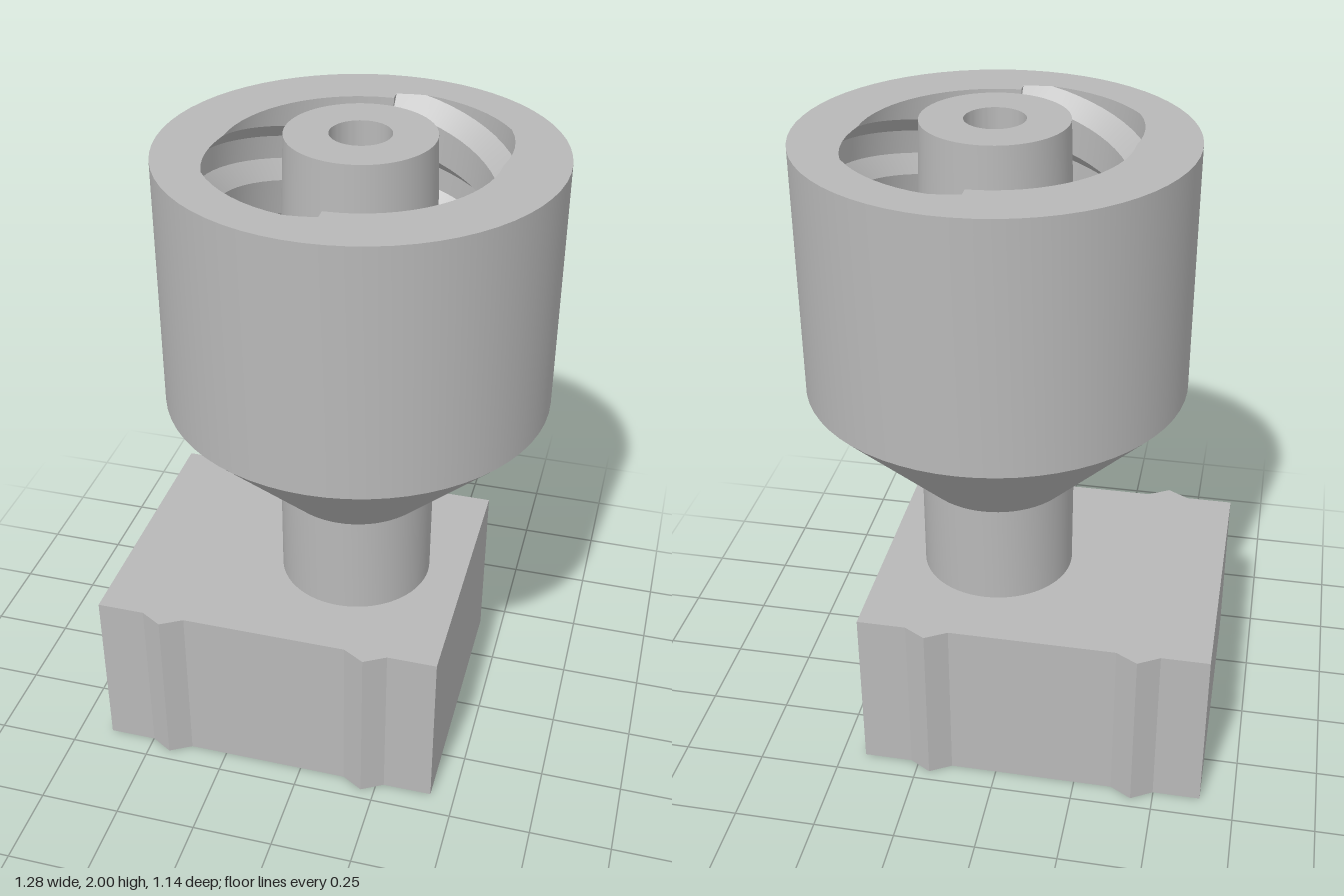
import * as THREE from 'three';
import { toCreasedNormals } from 'three/addons/utils/BufferGeometryUtils.js';

const SEG = 64, AXIS_X = 0.07;
const RIM_Y = 1.95, FLOOR_Y = 1.2, OUTER_R = 0.57, BORE_R = 0.39, GROOVE_R = 0.445;
// Two-start thread: lead per turn, height of the first groove at its start, groove half heights
const LEAD = 0.556, START_Y = 2.003, HALF_MOUTH = 0.085, HALF_ROOT = 0.035;

function lathe(points) {
  const geo = new THREE.LatheGeometry(points.map(([r, y]) => new THREE.Vector2(r, y)), SEG);
  return toCreasedNormals(geo.toNonIndexed(), 0.4);
}

// Block outline with small V ridges on the front and back edges
function blockGeometry() {
  const x0 = -0.645, x1 = 0.425, z = 0.427, peak = 0.465;
  const ridge = (x, s) => [[x - s * 0.066, -s * z], [x, -s * peak], [x + s * 0.066, -s * z]];
  const outline = [
    [x0, -z], ...ridge(-0.433, 1), ...ridge(0.208, 1), [x1, -z],
    [x1, z], ...ridge(0.208, -1), ...ridge(-0.433, -1), [x0, z],
  ];
  const shape = new THREE.Shape(outline.map(([x, y]) => new THREE.Vector2(x, y)));
  const hole = new THREE.Path();
  hole.absarc(AXIS_X, 0, 0.168, 0, Math.PI * 2, true);
  shape.holes.push(hole);
  const geo = new THREE.ExtrudeGeometry(shape, { depth: 0.54, bevelEnabled: false, curveSegments: 32 });
  return geo.rotateX(-Math.PI / 2);
}

// Half of the rim and bore wall, with a trapezoidal groove running down it
function threadGeometry() {
  const cols = SEG / 2, turns = [0, 1, 2, 3];
  const offsets = [HALF_MOUTH, HALF_ROOT, -HALF_ROOT, -HALF_MOUTH];
  const point = (r, y, a) => [r * Math.sin(a), y, -r * Math.cos(a)];
  const column = (a) => {
    const centres = turns.map((k) => START_Y - LEAD * (a / (2 * Math.PI) + k / 2));
    const radius = (y) => {
      const d = Math.min(...centres.map((c) => Math.abs(y - c)));
      const t = THREE.MathUtils.clamp((HALF_MOUTH - d) / (HALF_MOUTH - HALF_ROOT), 0, 1);
      return BORE_R + (GROOVE_R - BORE_R) * t;
    };
    const ys = [RIM_Y, ...centres.flatMap((c) => offsets.map((o) => c + o)), FLOOR_Y]
      .map((y) => THREE.MathUtils.clamp(y, FLOOR_Y, RIM_Y));
    return [point(OUTER_R, RIM_Y, a), ...ys.map((y) => point(radius(y), y, a))];
  };

  const pos = [];
  for (let j = 0; j < cols; j++) {
    const p = column((j / cols) * Math.PI), q = column(((j + 1) / cols) * Math.PI);
    for (let i = 0; i < p.length - 1; i++) {
      pos.push(...p[i], ...p[i + 1], ...q[i], ...p[i + 1], ...q[i + 1], ...q[i]);
    }
  }
  // Flat end of the groove where it begins at the rim
  const first = column(0);
  pos.push(...point(BORE_R, START_Y - HALF_MOUTH, 0), ...first[1], ...point(BORE_R, RIM_Y, 0));

  const geo = new THREE.BufferGeometry();
  geo.setAttribute('position', new THREE.Float32BufferAttribute(pos, 3));
  return toCreasedNormals(geo, 0.4);
}

export function createModel() {
  const model = new THREE.Group();
  model.name = 'threadedConnector';
  const grey = new THREE.MeshStandardMaterial({ color: 0xb8b8b8 });
  grey.name = 'plain grey';

  const add = (name, geo, x = AXIS_X) => {
    const mesh = new THREE.Mesh(geo, grey);
    mesh.name = name;
    mesh.position.x = x;
    model.add(mesh);
    return mesh;
  };

  add('baseBlock', blockGeometry(), 0);
  add('stemAndCollar', lathe([[0.235, 0.54], [0.235, 0.86], [OUTER_R, FLOOR_Y], [OUTER_R, RIM_Y]]));
  // Collar floor, tapered post, and the through hole with its countersink
  add('postAndChannel', lathe([
    [0.45, FLOOR_Y], [0.235, FLOOR_Y], [0.21, 2], [0.087, 2], [0.087, 0.08], [0.168, 0],
  ]));
  const thread = threadGeometry();
  add('threadHalfA', thread);
  add('threadHalfB', thread).rotation.y = Math.PI;

  return model;
}
